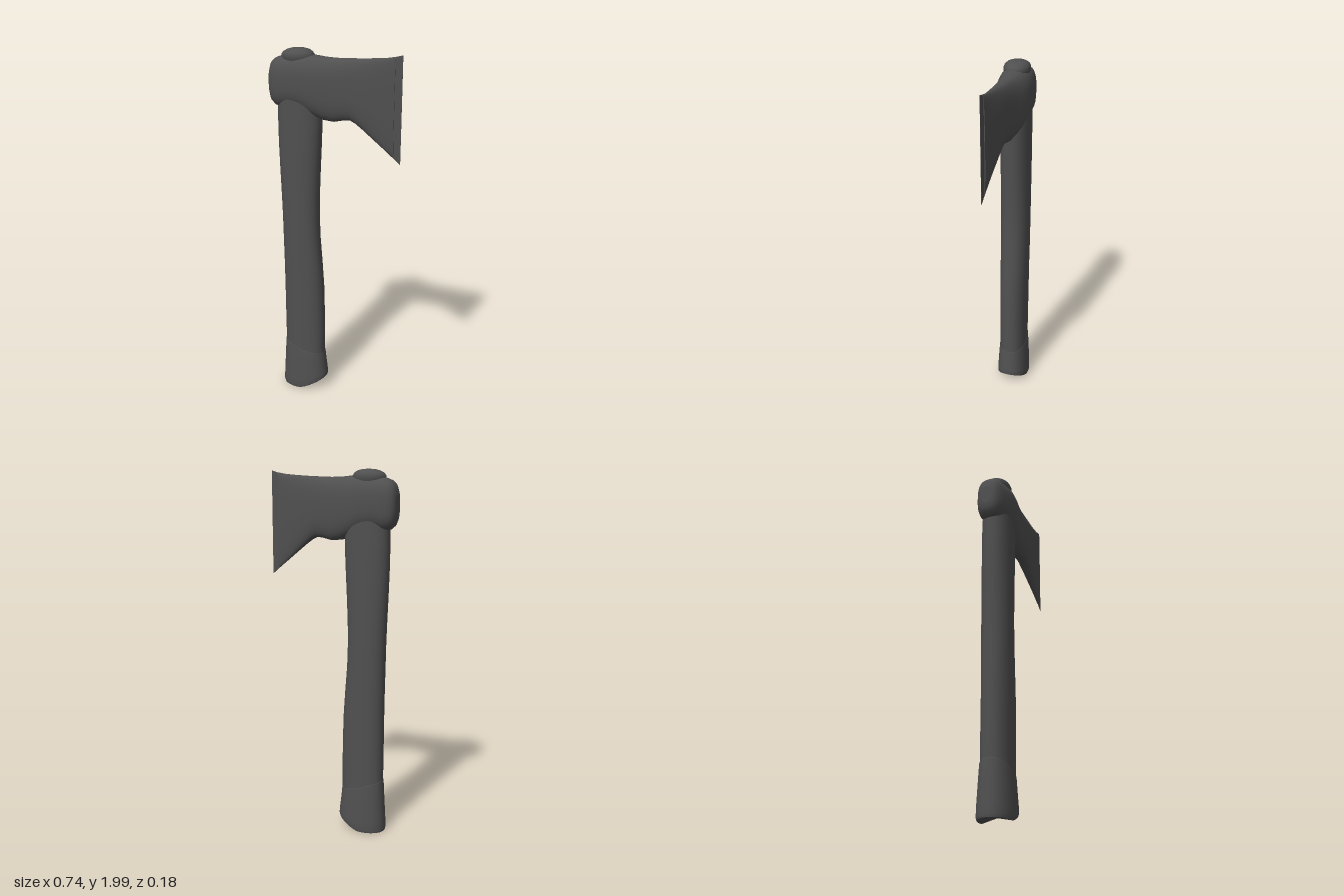
import * as THREE from 'three';

const SEG = 32;
const lerp = THREE.MathUtils.lerp;

// signed power for superellipse outlines
const pw = (v, p) => Math.sign(v) * Math.pow(Math.abs(v), 2 / p);

// Skins a list of equal closed rings; the ends get flat fans with their own vertices
function loft(rings) {
  const pos = [], idx = [];
  const add = (p) => pos.push(p.x, p.y, p.z) / 3 - 1;
  rings.forEach((r) => r.forEach(add));
  for (let i = 0; i < rings.length - 1; i++) {
    for (let j = 0; j < SEG; j++) {
      const k = (j + 1) % SEG;
      const a = i * SEG + j, b = i * SEG + k, c = a + SEG, d = b + SEG;
      idx.push(a, b, c, b, d, c);
    }
  }
  [rings[0], rings[rings.length - 1]].forEach((ring, end) => {
    const mid = ring.reduce((s, p) => s.add(p), new THREE.Vector3()).divideScalar(SEG);
    const m = add(mid);
    const first = m + 1;
    ring.forEach(add);
    for (let j = 0; j < SEG; j++) {
      const a = first + j, b = first + (j + 1) % SEG;
      if (end) idx.push(m, a, b);
      else idx.push(m, b, a);
    }
  });
  const g = new THREE.BufferGeometry();
  g.setAttribute('position', new THREE.Float32BufferAttribute(pos, 3));
  g.setIndex(idx);
  g.computeVertexNormals();
  return g;
}

// Horizontal ring spanning x0..x1 with half depth hz; y may depend on x
function ringY(y, x0, x1, hz, p = 2.3) {
  return Array.from({ length: SEG }, (_, j) => {
    const a = (j / SEG) * Math.PI * 2;
    const x = (x0 + x1) / 2 + pw(Math.cos(a), p) * (x1 - x0) / 2;
    const h = typeof y === 'function' ? y(x) : y;
    return new THREE.Vector3(x, h, -pw(Math.sin(a), p) * hz);
  });
}

// Upright ring at x spanning y0..y1 with half depth hz
function ringX(x, y0, y1, hz, p = 2.7) {
  return Array.from({ length: SEG }, (_, j) => {
    const a = (j / SEG) * Math.PI * 2;
    return new THREE.Vector3(x, (y0 + y1) / 2 + pw(Math.cos(a), p) * (y1 - y0) / 2, pw(Math.sin(a), p) * hz);
  });
}

export function createModel() {
  const group = new THREE.Group();
  const darkGrey = new THREE.MeshStandardMaterial({ color: 0x505050 });
  darkGrey.name = 'darkGrey';
  const part = (name, rings) => {
    const mesh = new THREE.Mesh(loft(rings), darkGrey);
    mesh.name = name;
    group.add(mesh);
  };

  // Handle: y, back x, front x, half depth
  part('handle', [
    [0.15, -0.305, -0.073, 0.076], [0.40, -0.308, -0.071, 0.077], [0.65, -0.308, -0.076, 0.078],
    [0.80, -0.309, -0.086, 0.078], [0.95, -0.311, -0.098, 0.079], [1.08, -0.313, -0.102, 0.079],
    [1.20, -0.317, -0.100, 0.079], [1.35, -0.323, -0.093, 0.079], [1.50, -0.328, -0.085, 0.079],
    [1.62, -0.329, -0.080, 0.079], [1.74, -0.327, -0.080, 0.077],
  ].map((s) => ringY(...s)));

  // Grip end: slanted upper rim, heel cut upward at the front
  const rim = (x) => (x < -0.17
    ? lerp(0.26, 0.31, THREE.MathUtils.clamp((-0.17 - x) / 0.14, 0, 1))
    : lerp(0.26, 0.24, Math.min(1, (x + 0.17) / 0.1)));
  const heel = (x) => 0.008 + 0.072 * Math.pow(Math.max(0, (x + 0.2) / 0.145), 1.2);
  part('gripEnd', [
    [1, -0.322, -0.058, 0.086], [0.95, -0.325, -0.055, 0.09], [0.8, -0.323, -0.056, 0.09],
    [0.4, -0.316, -0.064, 0.085], [0.04, -0.31, -0.07, 0.08], [0, -0.306, -0.074, 0.076],
  ].map(([t, x0, x1, hz]) => ringY((x) => lerp(rim(x), heel(x), t), x0, x1, hz)));

  // Axe head: x, lower y, upper y, half depth
  part('axeHead', [
    [-0.370, 1.765, 1.870, 0.030], [-0.366, 1.735, 1.900, 0.046], [-0.355, 1.710, 1.928, 0.060],
    [-0.335, 1.692, 1.945, 0.071], [-0.305, 1.685, 1.956, 0.079], [-0.250, 1.692, 1.963, 0.086],
    [-0.180, 1.682, 1.970, 0.091], [-0.110, 1.648, 1.966, 0.083], [-0.060, 1.632, 1.961, 0.071],
    [0.000, 1.626, 1.959, 0.059], [0.050, 1.637, 1.960, 0.053], [0.090, 1.641, 1.962, 0.048],
    [0.120, 1.626, 1.963, 0.045], [0.160, 1.597, 1.965, 0.040], [0.220, 1.548, 1.969, 0.030],
    [0.280, 1.500, 1.974, 0.019], [0.330, 1.460, 1.981, 0.010],
  ].map((s) => ringX(...s)));

  // Thin sharpened edge stepping out of the head
  part('cuttingEdge', [
    [0.29, 1.492, 1.976, 0.007], [0.33, 1.460, 1.982, 0.006], [0.368, 1.428, 1.992, 0.0008],
  ].map((s) => ringX(...s)));

  // Domed handle tip showing through the eye of the head
  part('handleTip', [
    [1.92, -0.290, -0.135, 0.058], [1.945, -0.302, -0.122, 0.068], [1.965, -0.304, -0.120, 0.070],
    [1.980, -0.292, -0.130, 0.064], [1.992, -0.268, -0.148, 0.050], [1.998, -0.245, -0.170, 0.030],
    [2.000, -0.220, -0.195, 0.010],
  ].map((s) => ringY(...s, 2)));

  return group;
}
